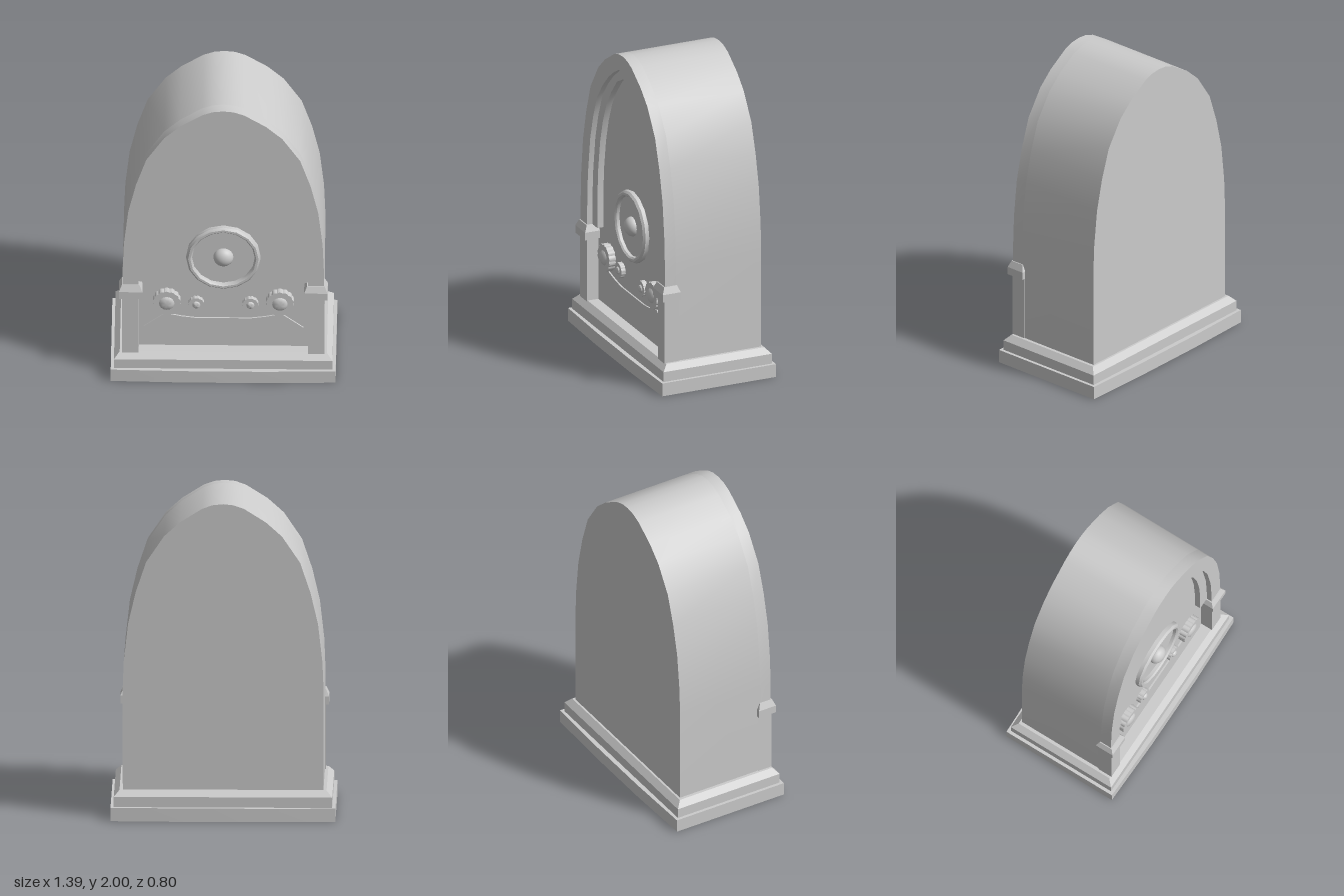
import * as THREE from 'three';
import { toCreasedNormals } from 'three/addons/utils/BufferGeometryUtils.js';

const material = new THREE.MeshStandardMaterial({ color: 0xcccccc });
const PANEL_Z = 0.26, FRONT_Z = 0.335, BACK_Z = -0.32;

// Right half of each arch, from foot to crown
const OUTER = [[0.62, 0.18], [0.622, 0.8], [0.614, 1.0], [0.587, 1.24], [0.54, 1.44], [0.476, 1.63],
  [0.365, 1.795], [0.265, 1.885], [0.13, 1.97], [0.065, 1.993], [0, 2]];
const MIDDLE = [[0.525, 0.18], [0.525, 0.8], [0.515, 1.03], [0.48, 1.285], [0.435, 1.45], [0.376, 1.6],
  [0.29, 1.71], [0.21, 1.79], [0.13, 1.85], [0.065, 1.887], [0, 1.9]];
const INNER = [[0.45, 0.69], [0.45, 0.9], [0.438, 1.09], [0.41, 1.28], [0.37, 1.43], [0.317, 1.56],
  [0.245, 1.67], [0.16, 1.77], [0.075, 1.815], [0, 1.832]];

// Mirrors a half outline into a full one, right foot to left foot
const mirror = half => [...half, ...half.slice(0, -1).reverse().map(([x, y]) => [-x, y])];

function slab(outline, z0, z1) {
  const shape = new THREE.Shape(outline.map(p => new THREE.Vector2(...p)));
  const geo = new THREE.ExtrudeGeometry(shape, { depth: z1 - z0, bevelEnabled: false });
  return toCreasedNormals(geo.translate(0, 0, z0), 0.6);
}

function archBand(outer, inner, z0, z1) {
  return slab([...mirror(outer), ...mirror(inner).reverse()], z0, z1);
}

// Lathe turned to face the front
function turned(profile, sides, crease = 0.6) {
  const geo = new THREE.LatheGeometry(profile.map(p => new THREE.Vector2(...p)), sides);
  return toCreasedNormals(geo.rotateX(Math.PI / 2), crease);
}

// Box whose top is drawn in on every side
function taperedBox(w, h, d, inset) {
  const geo = new THREE.BoxGeometry(w, h, d).toNonIndexed();
  const p = geo.attributes.position;
  for (let i = 0; i < p.count; i++) {
    if (p.getY(i) > 0) {
      p.setX(i, p.getX(i) - Math.sign(p.getX(i)) * inset);
      p.setZ(i, p.getZ(i) - Math.sign(p.getZ(i)) * inset);
    }
  }
  geo.computeVertexNormals();
  return geo;
}

export function createModel() {
  const group = new THREE.Group();
  const add = (name, geo, x = 0, y = 0, z = 0, parent = group) => {
    const mesh = new THREE.Mesh(geo, material);
    mesh.name = name;
    mesh.position.set(x, y, z);
    parent.add(mesh);
    return mesh;
  };

  // Stepped plinth; the lowest step bows slightly front and back
  const foot = [[-0.695, -0.387], [-0.25, -0.398], [0.25, -0.398], [0.695, -0.387],
    [0.695, 0.387], [0.25, 0.398], [-0.25, 0.398], [-0.695, 0.387]];
  add('plinthFoot', slab(foot, 0, 0.085).rotateX(-Math.PI / 2));
  add('plinthStep', new THREE.BoxGeometry(1.35, 0.065, 0.736), 0, 0.1175, 0);
  add('plinthBevel', taperedBox(1.35, 0.037, 0.736, 0.035), 0, 0.1685, 0);

  // Arched cabinet with a stepped, recessed front
  add('cabinet', slab(mirror(OUTER), BACK_Z, PANEL_Z));
  add('archFrame', archBand(OUTER, MIDDLE, PANEL_Z, FRONT_Z));
  const middleAboveCaps = [[0.525, 0.69], ...MIDDLE.slice(1)];
  add('archMoulding', archBand(middleAboveCaps, INNER, PANEL_Z, 0.3));

  // Shaped apron on the lower panel
  const apron = mirror([[0.495, 0.21], [0.495, 0.33], [0.36, 0.432], [0.26, 0.41], [0.17, 0.398], [0, 0.398]]);
  add('apron', slab(apron, PANEL_Z, PANEL_Z + 0.01));

  // Pilasters and their bevelled caps
  for (const side of [-1, 1]) {
    add('pilaster', new THREE.BoxGeometry(0.102, 0.42, 0.095), side * 0.574, 0.39, 0.2905);
    const cap = new THREE.Group();
    cap.name = 'pilasterCap';
    cap.position.set(side * 0.5725, 0, 0.2985);
    add('capBand', new THREE.BoxGeometry(0.145, 0.05, 0.123), 0, 0.625, 0, cap);
    add('capBevel', taperedBox(0.145, 0.042, 0.123, 0.018), 0, 0.671, 0, cap);
    group.add(cap);
  }

  // Round dial: rim, face and centre boss
  const dial = new THREE.Group();
  dial.name = 'dial';
  dial.position.set(0, 0.86, PANEL_Z);
  add('dialRim', turned([[0.23, 0], [0.23, 0.025], [0.218, 0.038], [0.204, 0.038], [0.195, 0.028], [0.195, 0]], 16), 0, 0, 0, dial);
  add('dialFace', turned([[0.196, 0], [0.196, 0.008], [0, 0.008]], 16), 0, 0, 0, dial);
  add('dialBoss', new THREE.SphereGeometry(0.062, 20, 14).scale(1, 1, 0.8), 0, 0, 0.012, dial);
  group.add(dial);

  // Scalloped knobs, a large and a small one on each side
  const knob = (name, x, y, r, lobes, depth, hub) => {
    const g = new THREE.Group();
    g.name = name;
    g.position.set(x, y, PANEL_Z);
    const n = lobes * 4;
    const rim = Array.from({ length: n }, (_, i) => {
      const a = (i / n) * Math.PI * 2;
      const q = r * (0.93 + 0.07 * Math.abs(Math.sin(a * lobes / 2)));
      return [q * Math.cos(a), q * Math.sin(a)];
    });
    add('knobBody', slab(rim, 0, depth), 0, 0, 0, g);
    add('knobHub', turned([[hub, 0], [hub * 0.85, 0.008], [hub * 0.5, 0.013], [0, 0.015]], 16), 0, 0, depth, g);
    group.add(g);
  };
  for (const side of [-1, 1]) {
    knob('largeKnob', side * 0.35, 0.53, 0.088, 14, 0.045, 0.048);
    knob('smallKnob', side * 0.167, 0.51, 0.05, 12, 0.03, 0.025);
  }
  return group;
}
